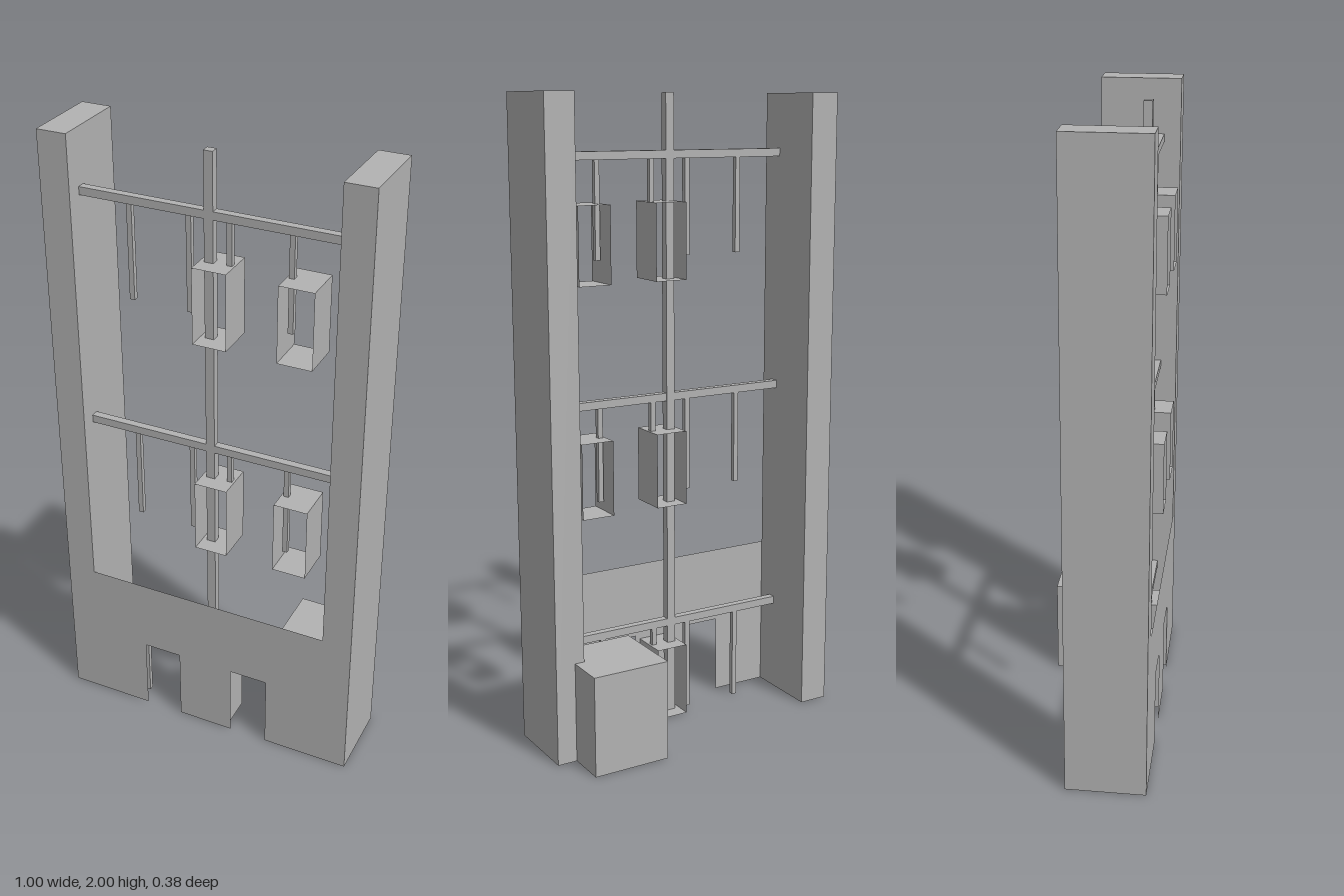
import * as THREE from 'three';

export function createModel() {
  const model = new THREE.Group();
  model.name = 'towerFrame';
  const grey = new THREE.MeshStandardMaterial({ color: 0xb2b2b2 });
  grey.name = 'concrete grey';
  const sheetGrey = new THREE.MeshStandardMaterial({ color: 0xb2b2b2, side: THREE.DoubleSide });
  sheetGrey.name = 'sheet grey';

  const add = (name, geometry, material = grey, parent = model) => {
    const mesh = new THREE.Mesh(geometry, material);
    mesh.name = name;
    parent.add(mesh);
    return mesh;
  };
  // Box given by its limits on each axis
  const box = (name, x0, x1, y0, y1, z0, z1, parent = model) => {
    const mesh = add(name, new THREE.BoxGeometry(x1 - x0, y1 - y0, z1 - z0), grey, parent);
    mesh.position.set((x0 + x1) / 2, (y0 + y1) / 2, (z0 + z1) / 2);
    return mesh;
  };

  // Side pillars
  box('leftPillar', 0.406, 0.5, 0, 2, -0.063, 0.187);
  box('rightPillar', -0.5, -0.406, 0, 2, -0.063, 0.187);

  // Thin front wall with two doorways
  const wall = new THREE.Shape([
    [-0.406, 0], [-0.22, 0], [-0.22, 0.253], [-0.095, 0.253], [-0.095, 0], [0.092, 0],
    [0.092, 0.253], [0.217, 0.253], [0.217, 0], [0.406, 0], [0.406, 0.5], [-0.406, 0.5],
  ].map(([x, y]) => new THREE.Vector2(x, y)));
  add('frontWall', new THREE.ShapeGeometry(wall), sheetGrey).position.z = 0.187;

  // Block at the back
  box('rearBlock', 0.187, 0.437, 0, 0.317, -0.19, 0.061);

  // Central pole
  box('centrePole', -0.014, 0.014, 0, 2, 0.11, 0.136);

  // Open sleeve: two sides, top and bottom, with no front or back
  const sleeve = (x0, x1, y0, y1, parent) => {
    const group = new THREE.Group();
    group.name = 'openSleeve';
    const w = x1 - x0, h = y1 - y0, d = 0.126;
    group.position.set((x0 + x1) / 2, (y0 + y1) / 2, 0.124);
    for (const s of [-1, 1]) {
      const side = add('sleeveSide', new THREE.PlaneGeometry(d, h), sheetGrey, group);
      side.rotation.y = s * Math.PI / 2;
      side.position.x = s * w / 2;
      const cap = add(s > 0 ? 'sleeveTop' : 'sleeveBottom', new THREE.PlaneGeometry(w, d), sheetGrey, group);
      cap.rotation.x = -s * Math.PI / 2;
      cap.position.y = s * h / 2;
    }
    parent.add(group);
  };

  // Three tiers: crossbar, hanging rods and a pair of sleeves
  for (let i = 0; i < 3; i++) {
    const tier = new THREE.Group();
    tier.name = 'tier' + (i + 1);
    model.add(tier);
    const barY = 0.298 + i * 0.753;
    box('crossbar', -0.406, 0.406, barY, barY + 0.025, 0.111, 0.136, tier);
    for (const x of [-0.25, -0.064, 0.061, 0.248]) {
      box('hangingRod', x - 0.008, x + 0.008, i * 0.753, barY, 0.115, 0.131, tier);
    }
    const y = 0.003 + i * 0.717;
    sleeve(-0.029, 0.076, y, y + 0.238, tier);
    sleeve(0.232, 0.339, y, y + 0.238, tier);
  }
  return model;
}
